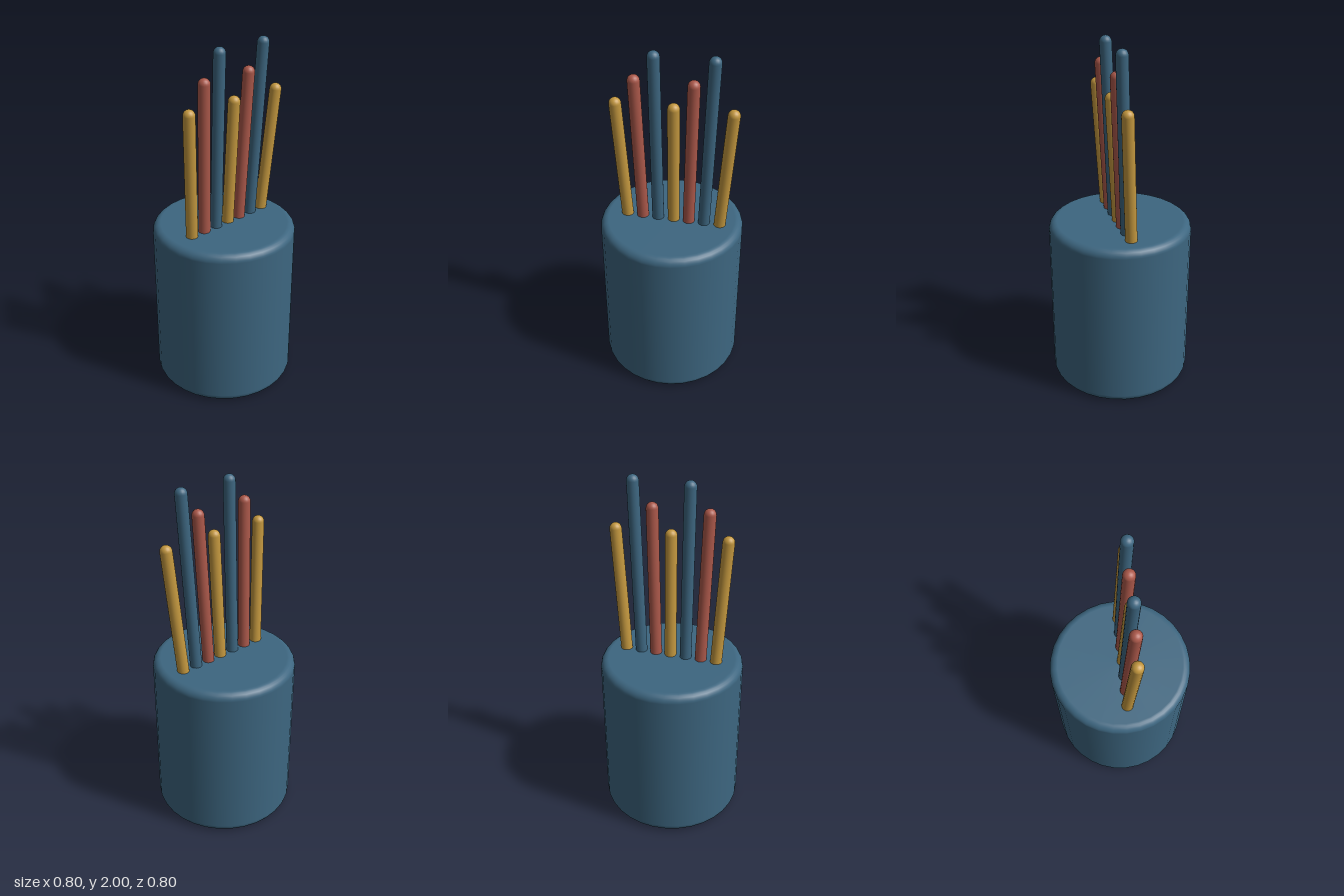
import * as THREE from 'three';

const material = (name, color) => {
  const m = new THREE.MeshStandardMaterial({ color });
  m.name = name;
  return m;
};

export function createModel() {
  const blue = material('slate blue', 0x3d6680);
  const red = material('brick red', 0xab584a);
  const gold = material('ochre gold', 0xc4983f);
  const model = new THREE.Group();
  model.name = 'stickHolder';

  // Solid cup with rounded rims
  const R = 0.402, H = 0.98, bevel = 0.045, steps = 6;
  const profile = [new THREE.Vector2(0, 0)];
  const corner = (cy, start) => {
    for (let i = 0; i <= steps; i++) {
      const a = start + (i / steps) * Math.PI / 2;
      profile.push(new THREE.Vector2(R - bevel + bevel * Math.cos(a), cy + bevel * Math.sin(a)));
    }
  };
  corner(bevel, -Math.PI / 2);
  corner(H - bevel, 0);
  profile.push(new THREE.Vector2(0, H));
  const cup = new THREE.Mesh(new THREE.LatheGeometry(profile, 32), blue);
  cup.name = 'cup';
  model.add(cup);

  // Fan of round-tipped sticks leaning forward: x at the rim, x at the tip, top height
  const r = 0.033;
  const up = new THREE.Vector3(0, 1, 0);
  const sticks = [
    [-0.252, -0.287, 1.725, gold], [-0.163, -0.185, 1.863, red], [-0.075, -0.081, 2.0, blue],
    [0.014, 0.021, 1.725, gold], [0.1, 0.124, 1.863, red], [0.187, 0.227, 2.0, blue],
    [0.276, 0.33, 1.725, gold],
  ];
  sticks.forEach(([x0, x1, top, mat], i) => {
    const rim = new THREE.Vector3(x0, H, 0.017);
    const tip = new THREE.Vector3(x1, top - r, 0.055);
    const dir = tip.clone().sub(rim).normalize();
    const foot = rim.clone().addScaledVector(dir, -0.08); // sunk into the cup
    const stick = new THREE.Mesh(new THREE.CapsuleGeometry(r, foot.distanceTo(tip), 6, 20), mat);
    stick.position.copy(foot).add(tip).multiplyScalar(0.5);
    stick.quaternion.setFromUnitVectors(up, dir);
    stick.name = `stick${i + 1}`;
    model.add(stick);
  });
  return model;
}
